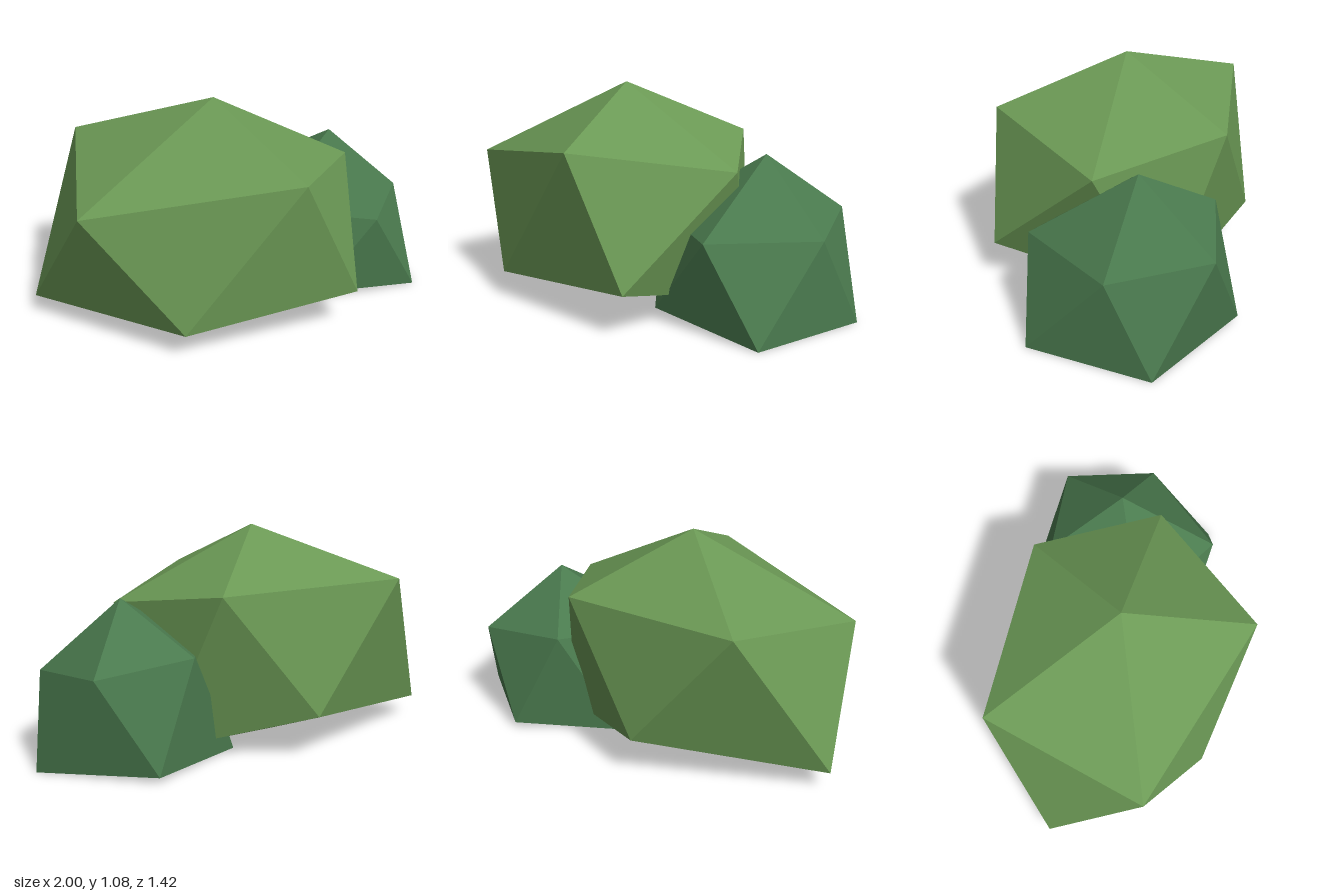
import * as THREE from 'three';

// Irregular twenty-sided clump: a top point, two staggered rings of five, a bottom point.
// Ring points run counterclockwise seen from above; lower[i] sits between upper[i] and upper[i+1].
function clump(name, material, top, upper, lower, bottom) {
  const points = [];
  for (let i = 0; i < 5; i++) {
    const j = (i + 1) % 5;
    points.push(top, upper[i], upper[j]);
    points.push(upper[i], lower[i], upper[j]);
    points.push(lower[i], lower[j], upper[j]);
    points.push(bottom, lower[j], lower[i]);
  }
  const geometry = new THREE.BufferGeometry();
  geometry.setAttribute('position', new THREE.Float32BufferAttribute(points.flat(), 3));
  geometry.computeVertexNormals();
  const mesh = new THREE.Mesh(geometry, material);
  mesh.name = name;
  return mesh;
}

function leafMaterial(name, color) {
  const material = new THREE.MeshStandardMaterial({ color, flatShading: true });
  material.name = name;
  return material;
}

export function createModel() {
  const group = new THREE.Group();
  group.name = 'bush';

  // Large light clump
  group.add(clump('largeClump', leafMaterial('lightLeaf', 0x6b9955),
    [-0.08, 1.08, 0.09],
    [[0.28, 0.82, 0.65], [0.63, 0.71, -0.06], [0.12, 0.81, -0.52], [-0.77, 0.84, -0.26], [-0.74, 0.68, 0.58]],
    [[0.57, 0.21, 0.53], [0.42, 0.02, -0.33], [-0.34, 0.22, -0.5], [-1, 0.1, 0.18], [-0.28, 0.13, 0.71]],
    [-0.2, 0, 0.01]));

  // Small dark clump behind on the left
  group.add(clump('smallClump', leafMaterial('darkLeaf', 0x4a7a4e),
    [0.59, 0.77, -0.27],
    [[0.74, 0.44, 0.22], [0.98, 0.43, -0.28], [0.7, 0.48, -0.68], [0.25, 0.53, -0.52], [0.2, 0.45, 0.05]],
    [[1, 0, 0.11], [0.99, 0, -0.51], [0.42, 0.03, -0.71], [0.05, 0, -0.28], [0.43, 0.06, 0.26]],
    [0.5, 0, -0.22]));

  return group;
}
